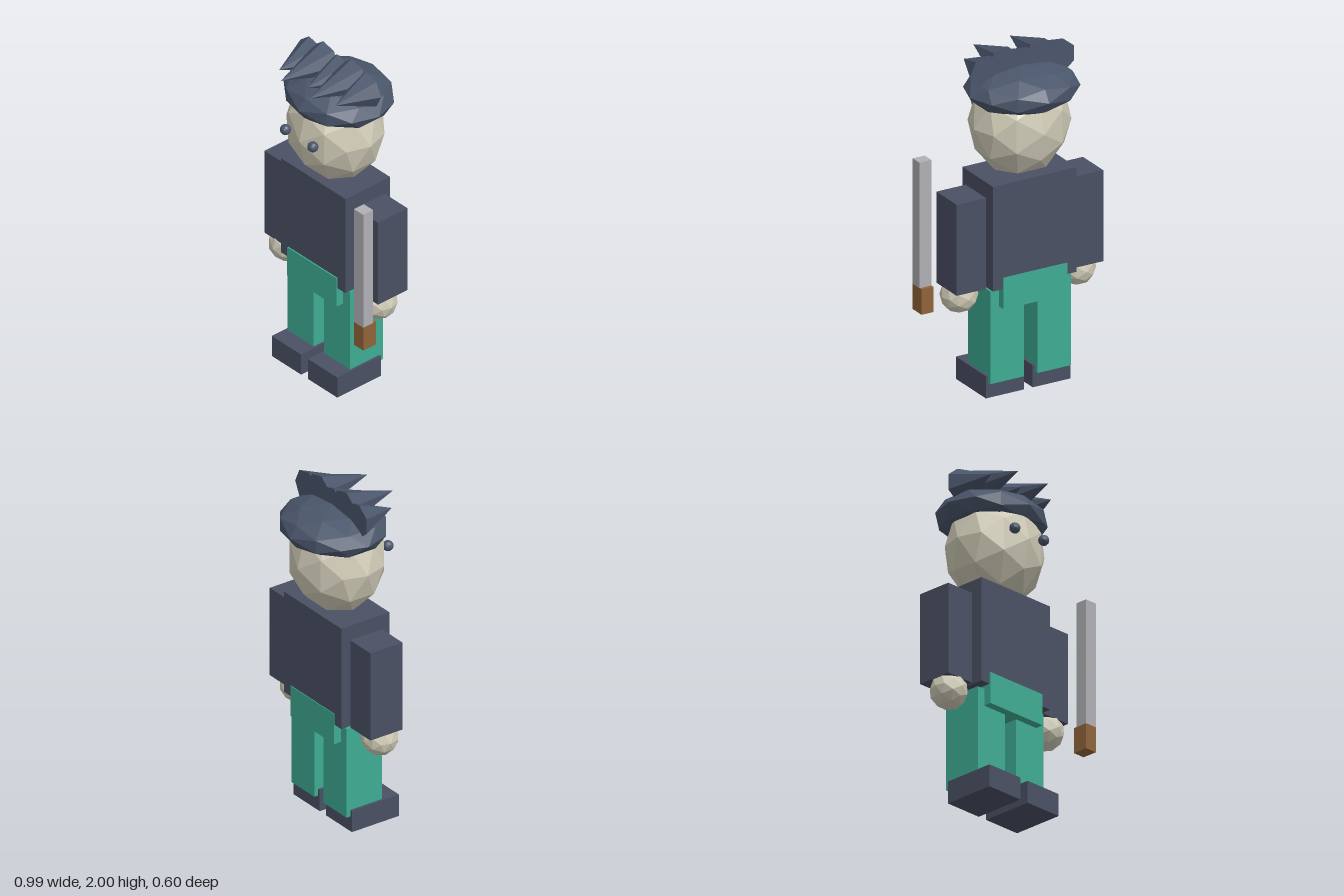
import * as THREE from 'three';

function mat(name, color) {
  const m = new THREE.MeshStandardMaterial({ color, flatShading: true });
  m.name = name;
  return m;
}

export function createModel() {
  const model = new THREE.Group();
  model.name = 'blockyFigure';

  const cloth = mat('slateCloth', 0x4a5064);
  const hairMat = mat('darkBlueHair', 0x4a566b);
  const skin = mat('paleSkin', 0xcfcab6);
  const green = mat('greenTrousers', 0x3eac93);
  const steel = mat('greyBlade', 0xb0b0b5);
  const wood = mat('brownGrip', 0x90643a);

  const CX = -0.023; // body midline; the sword shifts the overall bounds

  function add(parent, name, geometry, material, x, y, z) {
    const mesh = new THREE.Mesh(geometry, material);
    mesh.name = name;
    mesh.position.set(x, y, z);
    parent.add(mesh);
    return mesh;
  }

  // Box given by centre x, width and its y and z ranges
  function box(parent, name, material, x, w, y0, y1, z0, z1) {
    const g = new THREE.BoxGeometry(w, y1 - y0, z1 - z0);
    return add(parent, name, g, material, x, (y0 + y1) / 2, (z0 + z1) / 2);
  }

  // Faceted ellipsoid
  function ball(parent, name, material, x, y, z, rx, ry = rx, rz = rx) {
    const g = new THREE.IcosahedronGeometry(1, 1).scale(rx, ry, rz);
    return add(parent, name, g, material, x, y, z);
  }

  // Torso and trouser waist
  box(model, 'torso', cloth, CX, 0.525, 0.65, 1.263, -0.153, 0.167);
  box(model, 'waist', green, CX - 0.002, 0.4, 0.533, 0.717, -0.157, 0.175);

  // Mirrored limbs
  for (const [side, s] of [['left', 1], ['right', -1]]) {
    box(model, side + 'Arm', cloth, CX + s * 0.368, 0.184, 0.65, 1.183, -0.103, 0.109);
    ball(model, side + 'Hand', skin, CX + s * 0.37, 0.597, 0.024, 0.105);
    box(model, side + 'Leg', green, CX + s * 0.147, 0.21, 0.09, 0.632, -0.111, 0.127);
    box(model, side + 'Shoe', cloth, CX + s * 0.147, 0.238, 0, 0.13, -0.085, 0.229);
  }

  // Head
  const head = new THREE.Group();
  head.name = 'head';
  model.add(head);
  ball(head, 'skull', skin, CX, 1.545, 0.007, 0.287, 0.313, 0.26);
  for (const [side, s] of [['left', 1], ['right', -1]]) {
    ball(head, side + 'Eye', hairMat, CX + s * 0.111, 1.572, 0.268, 0.031);
  }

  // Hair cap and forward-pointing spikes, alternating short and long
  ball(head, 'hairCap', hairMat, CX, 1.748, -0.017, 0.327, 0.127, 0.288);
  for (let i = 0; i < 5; i++) {
    const long = i % 2 === 1;
    const length = long ? 0.325 : 0.235;
    const g = new THREE.ConeGeometry(0.1025, length, 7, 1, false, Math.PI / 2);
    g.rotateX(Math.PI / 2);
    add(head, 'hairSpike' + (i + 1), g, hairMat,
      CX + (i - 2) * 0.1145, long ? 1.9 : 1.873, -0.027 + length / 2);
  }

  // Sword
  const sword = new THREE.Group();
  sword.name = 'sword';
  model.add(sword);
  box(sword, 'blade', steel, 0.455, 0.075, 0.598, 1.333, 0.193, 0.264);
  box(sword, 'grip', wood, 0.455, 0.075, 0.45, 0.598, 0.172, 0.264);

  return model;
}
